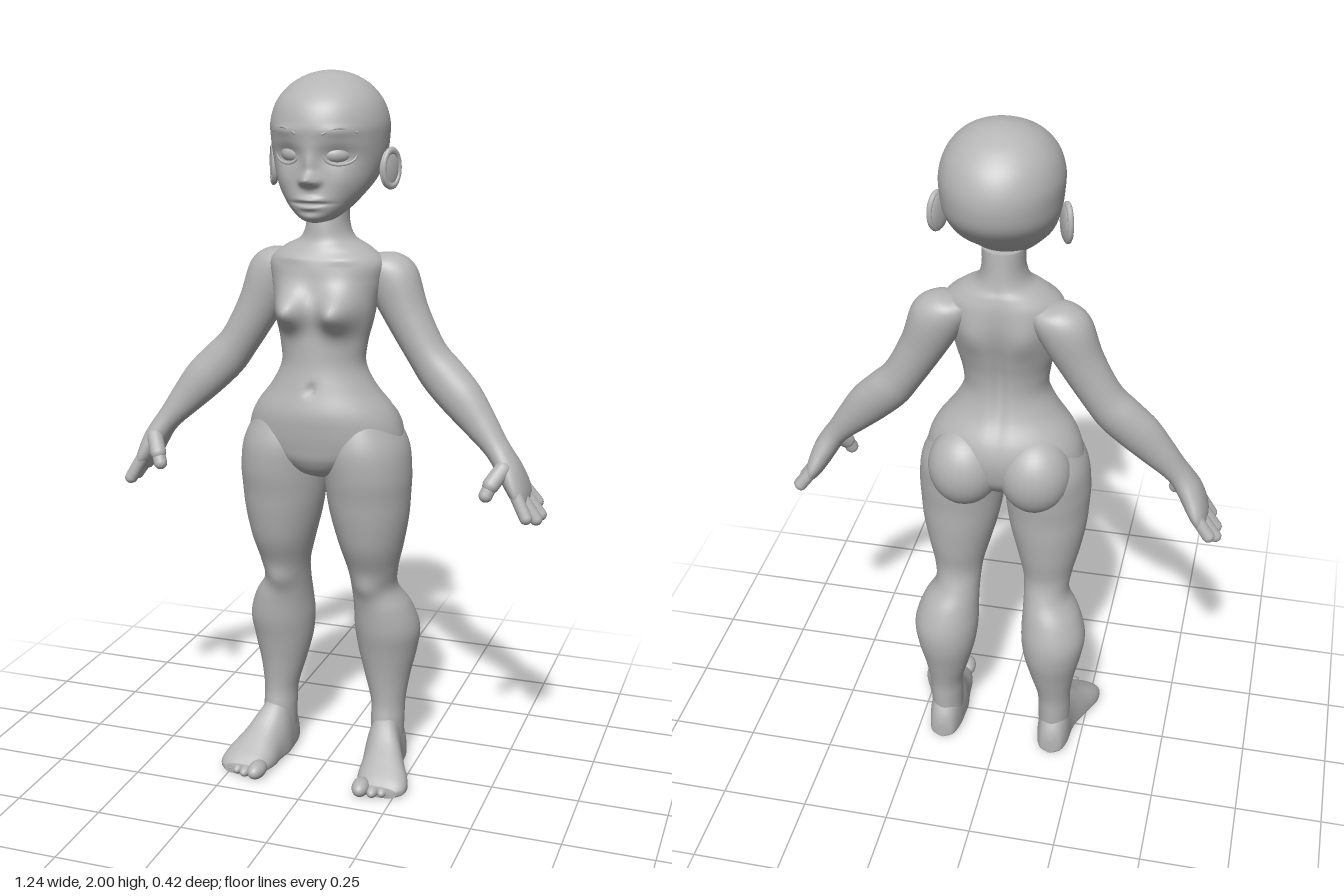
import * as THREE from 'three';

const clay = new THREE.MeshStandardMaterial({ color: 0xb5b5b5 });
clay.name = 'grey clay';

// Catmull-Rom subdivision of a table of cross-section numbers
function refine(rows, steps) {
  const out = [];
  const at = (i) => rows[Math.min(Math.max(i, 0), rows.length - 1)];
  for (let i = 0; i < rows.length - 1; i++) {
    for (let k = 0; k < steps; k++) {
      const t = k / steps;
      out.push(at(i).map((p1, j) => {
        const p0 = at(i - 1)[j], p2 = at(i + 1)[j], p3 = at(i + 2)[j];
        return 0.5 * (2 * p1 + (p2 - p0) * t + (2 * p0 - 5 * p1 + 4 * p2 - p3) * t * t
          + (3 * p1 - p0 - 3 * p2 + p3) * t * t * t);
      }));
    }
  }
  out.push(rows[rows.length - 1]);
  return out;
}

// Swap the corner order of every triangle
function flip(geo) {
  const a = geo.index.array;
  for (let i = 0; i < a.length; i += 3) [a[i + 1], a[i + 2]] = [a[i + 2], a[i + 1]];
  return geo;
}

// Closed smooth skin through rings; ring(row, cos, sin) gives a point
function loft(rows, ring, n = 40, steps = 6) {
  const fine = refine(rows, steps), pos = [], idx = [];
  for (const row of fine) {
    for (let j = 0; j < n; j++) {
      const a = j / n * Math.PI * 2;
      pos.push(...ring(row, Math.cos(a), Math.sin(a)));
    }
  }
  const m = fine.length;
  for (let i = 0; i < m - 1; i++) {
    for (let j = 0; j < n; j++) {
      const a = i * n + j, b = i * n + (j + 1) % n;
      idx.push(a, b, a + n, b, b + n, a + n);
    }
  }
  for (const end of [0, m - 1]) {
    const centre = [0, 0, 0], c = pos.length / 3;
    for (let j = 0; j < n; j++) for (let k = 0; k < 3; k++) centre[k] += pos[(end * n + j) * 3 + k] / n;
    pos.push(...centre);
    for (let j = 0; j < n; j++) {
      const a = end * n + j, b = end * n + (j + 1) % n;
      if (end) idx.push(a, b, c); else idx.push(b, a, c);
    }
  }
  const geo = new THREE.BufferGeometry();
  geo.setAttribute('position', new THREE.Float32BufferAttribute(pos, 3));
  geo.setIndex(idx);
  // Signed volume tells whether the skin faces outwards
  const v = [0, 1, 2].map(() => new THREE.Vector3());
  let volume = 0;
  for (let i = 0; i < idx.length; i += 3) {
    v.forEach((p, k) => p.fromArray(pos, idx[i + k] * 3));
    volume += v[0].dot(v[1].clone().cross(v[2]));
  }
  if (volume < 0) flip(geo);
  geo.computeVertexNormals();
  return geo;
}

// Push soft dents and bumps along z: [x, y, widthX, widthY, amount, face]
function sculpt(geo, bumps) {
  const p = geo.attributes.position;
  for (let i = 0; i < p.count; i++) {
    const x = p.getX(i), y = p.getY(i), z = p.getZ(i);
    let d = 0;
    for (const [bx, by, sx, sy, amount, face] of bumps) {
      for (const cx of bx ? [bx, -bx] : [0]) {
        const w = Math.exp(-(((x - cx) / sx) ** 2) - ((y - by) / sy) ** 2);
        d += face * amount * w * THREE.MathUtils.smoothstep(z * face, 0, 0.04);
      }
    }
    p.setZ(i, z + d);
  }
  geo.computeVertexNormals();
  return geo;
}

// Upright ring: [y, centreX, radiusX, frontZ, backZ]
const upright = ([y, cx, rx, f, b], c, s) => [cx + rx * c, y, (f + b) / 2 + (f - b) / 2 * s];

function ellipsoid(x, y, z, rx, ry, rz, turn = 0) {
  return new THREE.SphereGeometry(1, 28, 20).scale(rx, ry, rz).rotateY(turn).translate(x, y, z);
}

function capsule(from, to, r) {
  const a = new THREE.Vector3(...from), b = new THREE.Vector3(...to), d = b.clone().sub(a);
  const q = new THREE.Quaternion().setFromUnitVectors(new THREE.Vector3(0, 1, 0), d.clone().normalize());
  const mid = a.add(b).multiplyScalar(0.5);
  return new THREE.CapsuleGeometry(r, d.length(), 8, 16).applyQuaternion(q).translate(mid.x, mid.y, mid.z);
}

function tube(points, r, closed = false) {
  const curve = new THREE.CatmullRomCurve3(points.map((p) => new THREE.Vector3(...p)), closed);
  return new THREE.TubeGeometry(curve, 32, r, 8, closed);
}

export function createModel() {
  const model = new THREE.Group();
  model.name = 'figure';
  const add = (name, geo) => {
    const mesh = new THREE.Mesh(geo, clay);
    mesh.name = name;
    model.add(mesh);
  };
  const addPair = (name, geo) => {
    add(name + 'Left', geo);
    add(name + 'Right', flip(geo.clone().scale(-1, 1, 1)));
  };

  // Torso and neck
  const torso = [
    [0.895, 0.02, 0.05, -0.03], [0.92, 0.09, 0.11, -0.08], [0.96, 0.17, 0.14, -0.12],
    [1.0, 0.218, 0.15, -0.135], [1.05, 0.216, 0.157, -0.14], [1.1, 0.193, 0.158, -0.128],
    [1.16, 0.147, 0.142, -0.095], [1.22, 0.118, 0.128, -0.078], [1.28, 0.122, 0.122, -0.078],
    [1.34, 0.135, 0.112, -0.09], [1.4, 0.145, 0.108, -0.104], [1.45, 0.155, 0.108, -0.11],
    [1.5, 0.158, 0.1, -0.108], [1.535, 0.12, 0.08, -0.1], [1.56, 0.075, 0.066, -0.09],
    [1.6, 0.058, 0.06, -0.082], [1.66, 0.058, 0.05, -0.075],
  ].map(([y, ...r]) => [y, 0, ...r]);
  add('torso', sculpt(loft(torso, upright, 80), [
    [0.07, 1.375, 0.05, 0.052, 0.078, 1], [0, 1.165, 0.01, 0.013, -0.012, 1],
    [0.075, 1.513, 0.05, 0.01, 0.006, 1], [0, 1.28, 0.02, 0.19, -0.014, -1],
    [0.075, 1.42, 0.04, 0.06, 0.012, -1],
  ]));
  addPair('buttock', ellipsoid(0.1, 0.995, -0.07, 0.102, 0.118, 0.1));

  // Legs
  const leg = [
    [1.08, 0.11, 0.08, 0.12, -0.1], [1.0, 0.117, 0.116, 0.145, -0.135], [0.92, 0.124, 0.121, 0.143, -0.13],
    [0.85, 0.125, 0.118, 0.13, -0.122], [0.78, 0.128, 0.109, 0.118, -0.118], [0.7, 0.131, 0.091, 0.098, -0.11],
    [0.62, 0.132, 0.071, 0.062, -0.1], [0.56, 0.133, 0.066, 0.042, -0.117], [0.5, 0.151, 0.083, 0.036, -0.15],
    [0.43, 0.161, 0.094, 0.028, -0.172], [0.36, 0.161, 0.086, 0.012, -0.17], [0.28, 0.162, 0.067, -0.002, -0.15],
    [0.2, 0.167, 0.05, -0.008, -0.13], [0.14, 0.168, 0.048, 0, -0.125], [0.06, 0.168, 0.046, 0, -0.12],
  ];
  addPair('leg', sculpt(loft(leg, upright, 48), [[0.133, 0.575, 0.04, 0.035, 0.012, 1]]));

  // Feet: [z, centreX, radiusX, height], flat underneath
  const foot = [
    [-0.142, 0.17, 0.01, 0.05], [-0.13, 0.17, 0.035, 0.09], [-0.09, 0.17, 0.048, 0.15],
    [-0.04, 0.17, 0.052, 0.17], [0, 0.175, 0.058, 0.155], [0.05, 0.19, 0.066, 0.112],
    [0.1, 0.203, 0.075, 0.078], [0.14, 0.21, 0.07, 0.052], [0.165, 0.205, 0.055, 0.032],
  ];
  addPair('foot', loft(foot, ([z, cx, rx, h], c, s) => [
    cx + rx * Math.sign(c) * Math.abs(c) ** 0.8,
    0.02 + (s > 0 ? (h - 0.02) * s : -0.02 * (-s) ** 0.5), z,
  ]));
  const toes = [[0.158, 0.165, 0.025, 0.04], [0.192, 0.16, 0.017, 0.033], [0.218, 0.149, 0.016, 0.031],
    [0.241, 0.137, 0.015, 0.029], [0.262, 0.122, 0.015, 0.027]];
  toes.forEach(([x, z, r, len], i) => addPair('toe' + (i + 1), ellipsoid(x, r, z, r, r, len, 0.08)));

  // Arms and palms: [x, y, z, thickness, depth], rings square to the arm
  const arm = [
    [0.1, 1.5, -0.05, 0.03, 0.04], [0.135, 1.485, -0.05, 0.06, 0.062], [0.175, 1.44, -0.05, 0.074, 0.068],
    [0.22, 1.345, -0.045, 0.062, 0.061], [0.275, 1.25, -0.04, 0.056, 0.056], [0.32, 1.195, -0.035, 0.062, 0.056],
    [0.375, 1.138, -0.025, 0.061, 0.053], [0.43, 1.075, -0.015, 0.049, 0.046], [0.475, 1.022, -0.005, 0.037, 0.042],
    [0.5, 0.99, 0, 0.034, 0.046], [0.525, 0.95, 0, 0.034, 0.06], [0.548, 0.905, -0.005, 0.029, 0.074],
    [0.562, 0.875, -0.006, 0.021, 0.068], [0.568, 0.862, -0.006, 0.009, 0.05],
  ];
  addPair('arm', loft(arm, ([x, y, z, a, b], c, s) => [x + 0.83 * a * c, y + 0.55 * a * c, z + b * s]));

  // Fingers and thumb
  const fingers = [[0.05, 0.583, 0.84, 0.06], [0.014, 0.602, 0.826, 0.015],
    [-0.025, 0.605, 0.826, -0.03], [-0.058, 0.588, 0.85, -0.068]];
  fingers.forEach(([z, tx, ty, tz], i) => {
    addPair('finger' + (i + 1), capsule([0.553, 0.895, z], [tx, ty, tz], 0.0175));
  });
  addPair('thumbBase', capsule([0.512, 0.965, 0.04], [0.488, 0.927, 0.072], 0.023));
  addPair('thumb', capsule([0.488, 0.927, 0.072], [0.477, 0.9, 0.082], 0.019));

  // Head with sculpted face
  const head = [
    [1.612, 0.02, 0.11, 0.03], [1.62, 0.045, 0.13, 0], [1.645, 0.078, 0.14, -0.04], [1.68, 0.108, 0.142, -0.09],
    [1.72, 0.133, 0.138, -0.15], [1.77, 0.15, 0.14, -0.195], [1.82, 0.157, 0.148, -0.21],
    [1.87, 0.158, 0.148, -0.207], [1.92, 0.142, 0.128, -0.185], [1.96, 0.11, 0.085, -0.145],
    [1.985, 0.07, 0.035, -0.1], [1.996, 0.035, -0.002, -0.067], [2.0, 0.003, -0.03, -0.036],
  ].map(([y, ...r]) => [y, 0, ...r]);
  add('head', sculpt(loft(head, upright, 128, 10), [
    [0, 1.765, 0.018, 0.035, 0.014, 1], [0, 1.727, 0.02, 0.017, 0.036, 1], [0.02, 1.721, 0.01, 0.01, 0.01, 1],
    [0.07, 1.79, 0.042, 0.027, -0.014, 1], [0.075, 1.852, 0.045, 0.013, 0.005, 1], [0.085, 1.72, 0.035, 0.03, 0.007, 1],
    [0, 1.675, 0.032, 0.008, 0.011, 1], [0, 1.655, 0.026, 0.008, 0.011, 1], [0, 1.665, 0.045, 0.004, -0.009, 1],
    [0, 1.63, 0.03, 0.012, 0.007, 1],
  ]));

  // Eyes, lids and brows
  addPair('eye', ellipsoid(0.06, 1.79, 0.097, 0.041, 0.025, 0.026, 0.55));
  const lid = [];
  for (let i = 0; i < 14; i++) {
    const a = i / 14 * Math.PI * 2, dx = 0.038 * Math.cos(a);
    lid.push([0.072 + dx, 1.79 + 0.025 * Math.sin(a), 0.112 - 0.62 * dx - 5 * dx * dx]);
  }
  addPair('eyelid', tube(lid, 0.004, true));
  addPair('eyebrow', tube([[0.035, 1.845, 0.146], [0.075, 1.86, 0.129], [0.115, 1.848, 0.093]], 0.004));

  // Ears with raised rims
  addPair('ear', ellipsoid(0.163, 1.745, -0.036, 0.012, 0.053, 0.036, -0.45));
  addPair('earRim', new THREE.TorusGeometry(0.036, 0.008, 10, 32).scale(0.85, 1.3, 1)
    .rotateY(Math.PI / 2 - 0.45).translate(0.168, 1.746, -0.038));

  return model;
}
